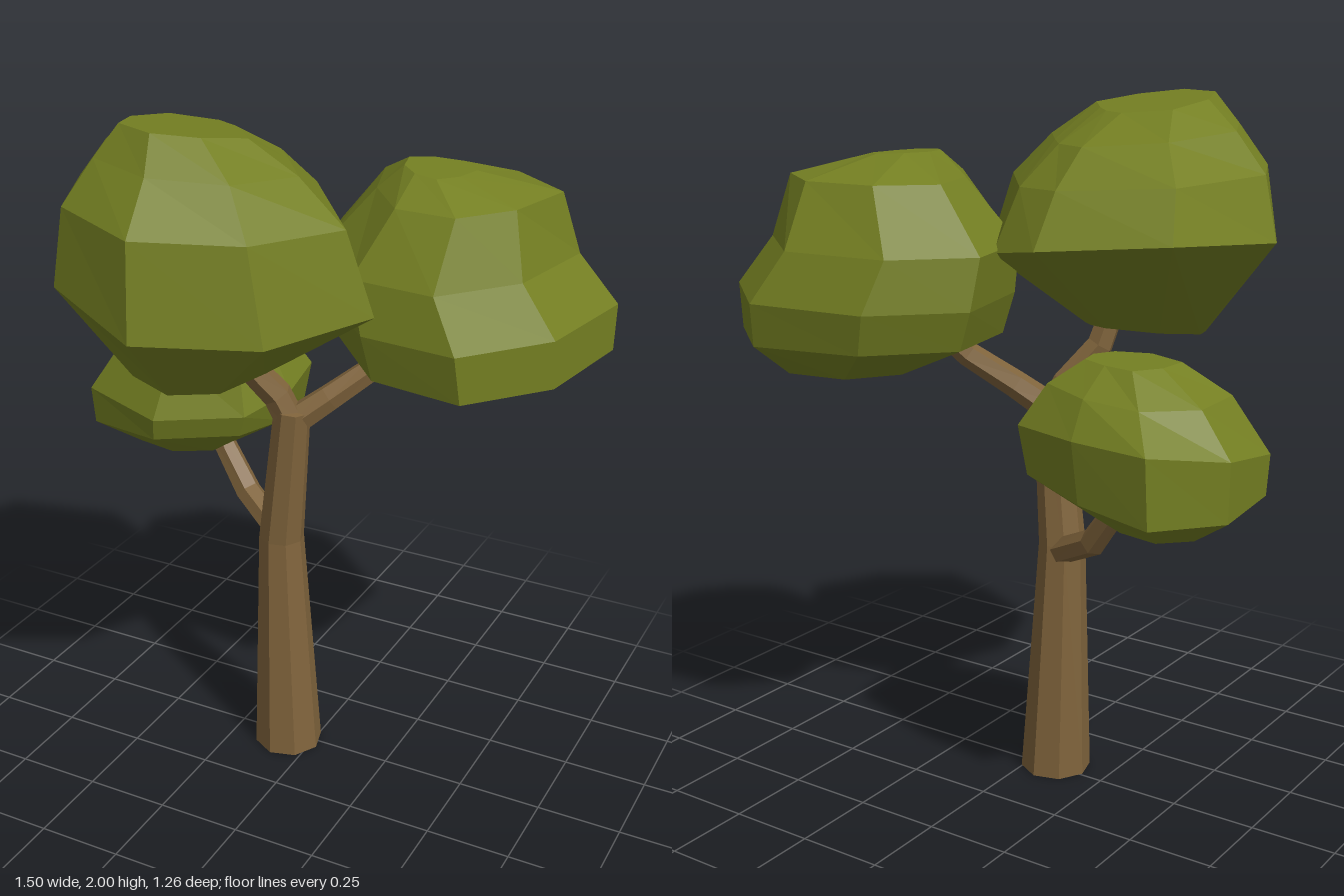
import * as THREE from 'three';

// Skin a stack of equal-sized rings into a closed, faceted solid
function loft(rings) {
  const pos = [];
  const tri = (...pts) => pts.forEach((p) => pos.push(p.x, p.y, p.z));
  const middle = (ring) => ring.reduce((s, p) => s.add(p), new THREE.Vector3()).divideScalar(ring.length);
  const n = rings[0].length;
  const first = rings[0], last = rings[rings.length - 1];
  const low = middle(first), high = middle(last);
  for (let i = 0; i < n; i++) {
    const j = (i + 1) % n;
    for (let k = 0; k < rings.length - 1; k++) {
      const a = rings[k], b = rings[k + 1];
      tri(a[i], b[i], b[j]);
      tri(a[i], b[j], a[j]);
    }
    tri(low, first[i], first[j]);
    tri(high, last[j], last[i]);
  }
  const geo = new THREE.BufferGeometry();
  geo.setAttribute('position', new THREE.Float32BufferAttribute(pos, 3));
  geo.computeVertexNormals();
  return geo;
}

// Tapered limb along a path of [x, y, z, radius]
function limb(path, sides) {
  const pts = path.map(([x, y, z]) => new THREE.Vector3(x, y, z));
  const up = new THREE.Vector3(0, 1, 0);
  return loft(path.map(([, , , r], k) => {
    const dir = pts[Math.min(k + 1, pts.length - 1)].clone().sub(pts[Math.max(k - 1, 0)]).normalize();
    if (k === 0 && path[0][1] === 0) dir.copy(up); // flat foot on the ground
    const turn = new THREE.Quaternion().setFromUnitVectors(up, dir);
    return Array.from({ length: sides }, (_, i) => {
      const a = ((i + 0.15) / sides) * Math.PI * 2;
      return new THREE.Vector3(Math.cos(a) * r, 0, Math.sin(a) * r).applyQuaternion(turn).add(pts[k]);
    });
  }));
}

// Leaf crown: a plan outline [x, z] scaled at each level [y, scale, dx, dz, tiltX, tiltZ]
function crown([cx, cz], outline, levels) {
  return loft(levels.map(([y, s, dx = 0, dz = 0, tx = 0, tz = 0], k) =>
    outline.map(([x, z], i) => {
      const wobble = s < 0.8 ? 1 + 0.04 * Math.sin(i * 2.4 + k * 1.9) : 1;
      const ox = (x - cx) * s * wobble, oz = (z - cz) * s * wobble;
      return new THREE.Vector3(cx + dx + ox, y + ox * tx + oz * tz, cz + dz + oz);
    })));
}

export function createModel() {
  const bark = new THREE.MeshStandardMaterial({ color: 0x80643c });
  bark.name = 'bark brown';
  const leaf = new THREE.MeshStandardMaterial({ color: 0x747f22 });
  leaf.name = 'leaf green';

  const tree = new THREE.Group();
  tree.name = 'tree';
  const add = (name, geo, mat) => {
    const mesh = new THREE.Mesh(geo, mat);
    mesh.name = name;
    tree.add(mesh);
  };

  // Trunk and branches
  add('trunk', limb([[-0.078, 0, 0.02, 0.104], [-0.098, 0.72, 0.018, 0.068], [-0.05, 1.15, 0.035, 0.054]], 8), bark);
  add('frontBranch', limb([[-0.05, 1.1, 0.035, 0.045], [-0.09, 1.19, 0.05, 0.044], [-0.17, 1.3, 0.1, 0.04], [-0.2, 1.42, 0.13, 0.036]], 6), bark);
  add('leftBranch', limb([[-0.06, 1.1, 0.04, 0.045], [0.04, 1.18, -0.02, 0.04], [0.15, 1.27, -0.1, 0.036], [0.22, 1.36, -0.16, 0.034]], 6), bark);
  add('lowerBranch', limb([[-0.09, 0.69, 0.0, 0.04], [-0.27, 0.78, -0.09, 0.04], [-0.4, 0.95, -0.13, 0.034], [-0.43, 1.02, -0.14, 0.034]], 6), bark);

  // Leaf crowns
  add('frontCrown', crown([-0.2, 0.15],
    [[0.26, 0.16], [0.1, 0.47], [-0.2, 0.63], [-0.53, 0.47], [-0.68, 0.15], [-0.58, -0.23], [-0.23, -0.33], [-0.04, -0.24], [0.08, -0.08]],
    [[1.335, 0.42, -0.02, 0.08, 0, -0.15], [1.57, 1, 0, 0, -0.11, -0.1], [1.775, 0.87, -0.01, 0.03, -0.05, 0.02], [1.89, 0.63, -0.03, 0.03, -0.05, 0.06], [1.975, 0.38, -0.06, 0.06, -0.05, 0.13]]), leaf);
  add('leftCrown', crown([0.33, -0.22],
    [[0.75, -0.39], [0.69, -0.04], [0.5, 0.19], [0.22, 0.16], [0, -0.08], [-0.08, -0.4], [0.12, -0.6], [0.48, -0.63]],
    [[1.25, 0.55, 0.06, -0.06, -0.04], [1.335, 0.95, 0.02, 0, -0.03, -0.02], [1.46, 1], [1.6, 0.88, -0.06, 0.01], [1.775, 0.62, -0.01, 0], [1.84, 0.24, -0.05, 0.04, -0.06]]), leaf);
  add('rightCrown', crown([-0.45, -0.13],
    [[-0.14, -0.12], [-0.2, 0.05], [-0.45, 0.15], [-0.74, 0.04], [-0.75, -0.21], [-0.61, -0.4], [-0.38, -0.38], [-0.16, -0.3]],
    [[0.893, 0.47, -0.05, -0.02, 0.08], [0.99, 0.95, -0.01, 0, 0.12, 0.06], [1.115, 1, 0, 0, 0.03, -0.15], [1.25, 0.73, 0.02, 0, 0.06], [1.325, 0.38, 0.04, 0, 0.02]]), leaf);

  return tree;
}
